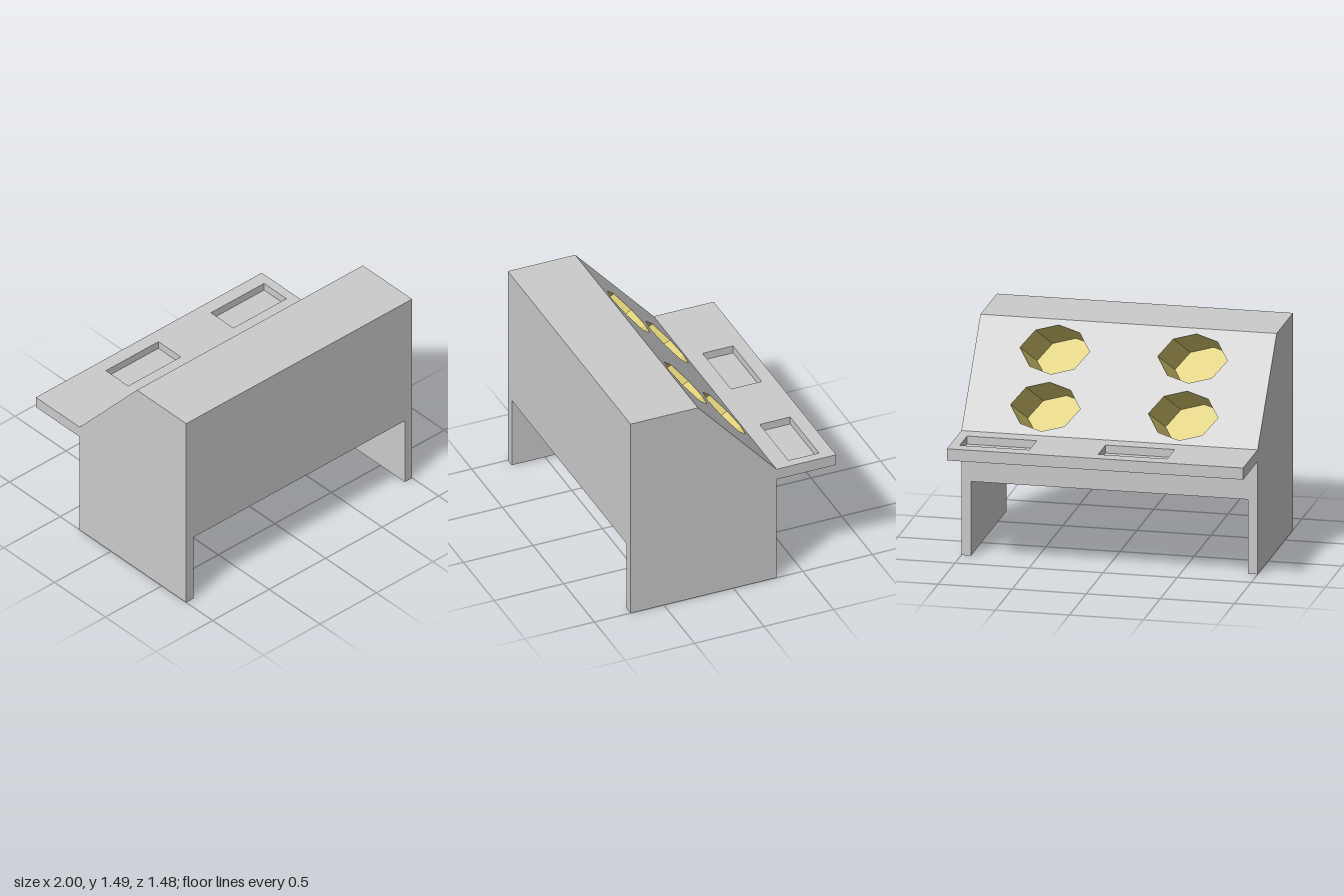
import * as THREE from 'three';

const GREY = 0xcccccc, GOLD = 0xd9ca70;
const V = (x, y, z) => new THREE.Vector3(x, y, z);
const P = (x, y) => new THREE.Vector2(x, y);
const material = (color) => new THREE.MeshStandardMaterial({ color, flatShading: true, side: THREE.DoubleSide });

// rectangle outline, counter-clockwise
const rect = (u0, v0, u1, v1) => [P(u0, v0), P(u1, v0), P(u1, v1), P(u0, v1)];

// a plane in space: origin and two directions, facing u x v
const frame = (origin, u, v) => ({ origin, u, v });
const place = (f, p) => f.origin.clone().addScaledVector(f.u, p.x).addScaledVector(f.v, p.y);

function mesh(name, geometry, mat) {
  const m = new THREE.Mesh(geometry, mat);
  m.name = name;
  return m;
}

// flat sheet in a plane, with optional holes
function sheet(name, f, outline, mat, holes = []) {
  const shape = new THREE.Shape(outline);
  for (const h of holes) shape.holes.push(new THREE.Path(h));
  const basis = new THREE.Matrix4().makeBasis(f.u, f.v, f.u.clone().cross(f.v)).setPosition(f.origin);
  return mesh(name, new THREE.ShapeGeometry(shape).applyMatrix4(basis), mat);
}

// pocket sunk from a hole in a plane: inward walls plus a floor
function recess(name, f, ring, shift, mat) {
  const g = new THREE.Group();
  g.name = name;
  const pts = [];
  ring.forEach((p, i) => {
    const a = place(f, p), b = place(f, ring[(i + 1) % ring.length]);
    const c = a.clone().add(shift), d = b.clone().add(shift);
    pts.push(a, b, c, b, d, c);
  });
  const walls = new THREE.BufferGeometry().setFromPoints(pts);
  walls.computeVertexNormals();
  const deep = frame(f.origin.clone().add(shift), f.u, f.v);
  g.add(mesh(name + 'Walls', walls, mat), sheet(name + 'Floor', deep, ring, mat));
  return g;
}

export function createModel() {
  const group = new THREE.Group();
  group.name = 'counter';
  const grey = material(GREY), gold = material(GOLD);

  const front = 0.74, back = -0.31, ridge = 0.255, top = 1.49, shelfY = 0.855;
  const under = 0.51, side = 0.065, inner = 1 - side, shelfDrop = 0.08;
  const X = V(1, 0, 0), Y = V(0, 1, 0), negX = V(-1, 0, 0), Z = V(0, 0, 1), negZ = V(0, 0, -1);

  // end panels, which also form the legs
  const profile = new THREE.Shape([
    P(back, 0), P(front, 0), P(front, top), P(ridge, top), P(back, shelfY),
  ]);
  for (const [name, x] of [['leftEndPanel', 1], ['rightEndPanel', -1 + side]]) {
    const geo = new THREE.ExtrudeGeometry(profile, { depth: side, bevelEnabled: false });
    geo.rotateY(-Math.PI / 2).translate(x, 0, 0);
    group.add(mesh(name, geo, grey));
  }

  // body skin between the end panels
  group.add(
    sheet('frontPanel', frame(V(0, 0, front), X, Y), rect(-inner, under, inner, top), grey),
    sheet('topPanel', frame(V(0, top, 0), X, negZ), rect(-inner, -front, inner, -ridge), grey),
    sheet('backPanel', frame(V(0, 0, back), negX, Y), rect(-inner, under, inner, shelfY), grey),
    sheet('underside', frame(V(0, under, 0), X, Z), rect(-inner, back, inner, front), grey),
  );

  // sloping panel with four slanted eight-sided bins
  const rise = V(0, top - shelfY, ridge - back);
  const length = rise.length();
  const slope = frame(V(0, shelfY, back), negX, rise.normalize());
  const octagon = [[0.235, 0], [0.15, 0.132], [0, 0.18], [-0.15, 0.132],
    [-0.235, 0], [-0.15, -0.132], [0, -0.18], [0.15, -0.132]];
  const bins = [];
  for (const u of [-0.465, 0.465])
    for (const v of [0.211, 0.629])
      bins.push(octagon.map(([a, b]) => P(u + a, v + b)));
  group.add(sheet('slopePanel', slope, rect(-inner, 0, inner, length), grey, bins));
  for (const ring of bins) group.add(recess('bin', slope, ring, V(0, -0.24, 0.51), gold));

  // back shelf, open below, with two shallow trays
  const shelf = frame(V(0, shelfY, 0), X, negZ);
  const trays = [rect(-0.465, 0.425, 0, 0.645), rect(0.465, 0.425, 0.935, 0.645)];
  group.add(sheet('shelfTop', shelf, rect(-1, -back, 1, front), grey, trays));
  for (const ring of trays) group.add(recess('tray', shelf, ring, V(0, -0.055, 0), grey));
  const low = shelfY - shelfDrop;
  group.add(
    sheet('shelfBackRim', frame(V(0, 0, -front), negX, Y), rect(-1, low, 1, shelfY), grey),
    sheet('shelfLeftRim', frame(V(1, 0, 0), negZ, Y), rect(-back, low, front, shelfY), grey),
    sheet('shelfRightRim', frame(V(-1, 0, 0), Z, Y), rect(-front, low, back, shelfY), grey),
  );
  return group;
}
